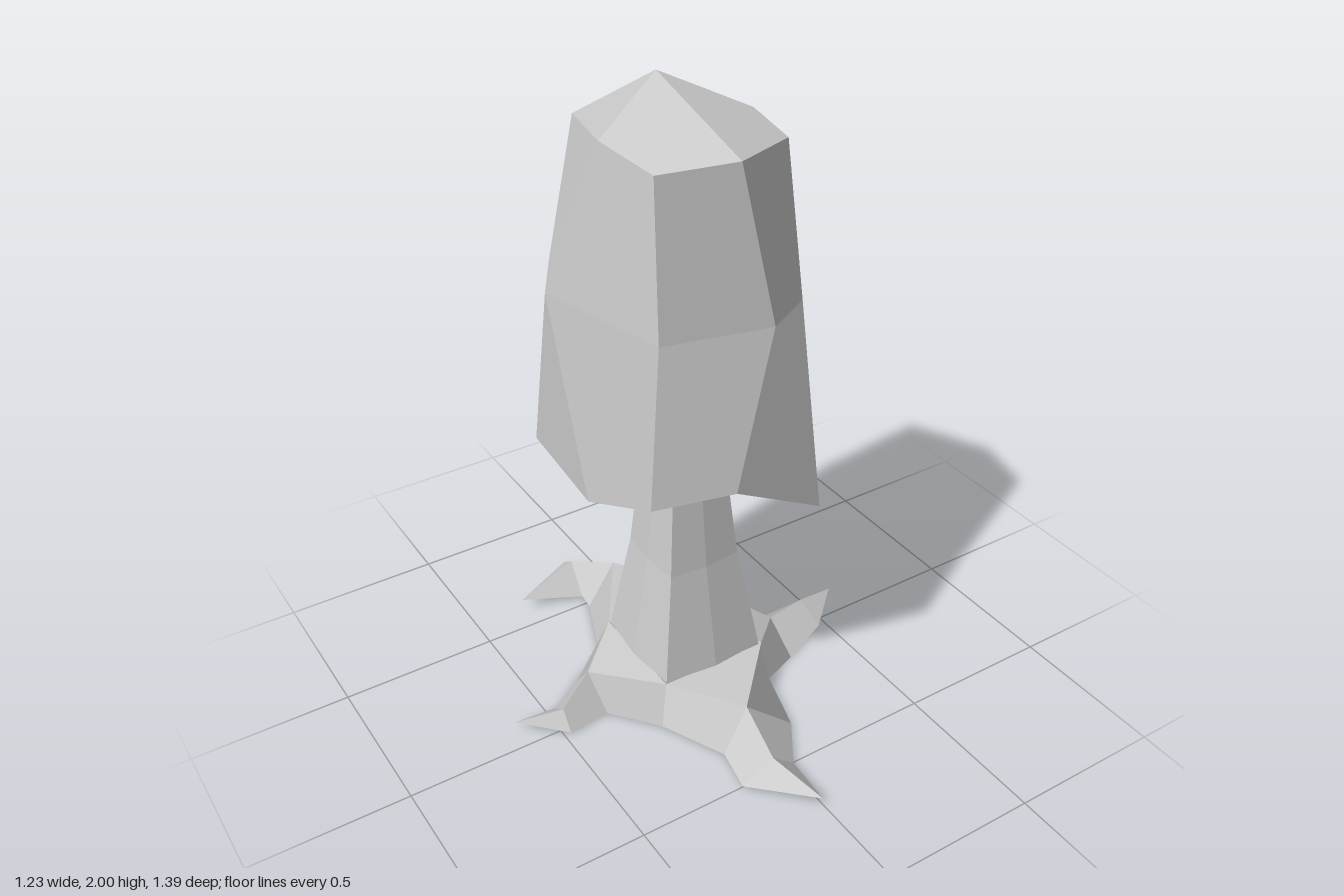
import * as THREE from 'three';

const material = new THREE.MeshStandardMaterial({ color: 0xcccccc });

// Skins closed rings of points with evenly shaded quads. Each end is closed to a point;
// capStep is the number of ring edges shared by one face of the caps.
function loft(name, rings, startPoint, endPoint, capStep = 1) {
  const pos = [];
  const nor = [];
  const quad = (...corners) => {
    const [a, b, c, d] = corners.map((p) => new THREE.Vector3(...p));
    const normal = c.clone().sub(a).cross(d.clone().sub(b)).normalize();
    for (const t of [[a, b, c], [a, c, d]]) {
      if (t[0].equals(t[1]) || t[1].equals(t[2]) || t[0].equals(t[2])) continue;
      for (const v of t) {
        pos.push(v.x, v.y, v.z);
        nor.push(normal.x, normal.y, normal.z);
      }
    }
  };
  const n = rings[0].length;
  const first = rings[0];
  const last = rings[rings.length - 1];
  for (let k = 0; k < rings.length - 1; k++) {
    const [a, b] = [rings[k], rings[k + 1]];
    for (let i = 0; i < n; i++) {
      const j = (i + 1) % n;
      quad(a[i], a[j], b[j], b[i]);
    }
  }
  for (let i = 0; i < n; i += capStep) {
    const mid = (i + 1) % n;
    const end = (i + capStep) % n;
    quad(last[mid], last[end], endPoint, last[i]);
    quad(first[mid], first[i], startPoint, first[end]);
  }
  const geometry = new THREE.BufferGeometry();
  geometry.setAttribute('position', new THREE.Float32BufferAttribute(pos, 3));
  geometry.setAttribute('normal', new THREE.Float32BufferAttribute(nor, 3));
  const mesh = new THREE.Mesh(geometry, material);
  mesh.name = name;
  return mesh;
}

// Trunk ring: a square with its sides bulging slightly in the middle.
function trunkRing(y, r) {
  return Array.from({ length: 8 }, (_, i) => {
    const a = (i * Math.PI) / 4;
    const d = i % 2 ? r * 0.92 * Math.SQRT2 : r;
    return [-0.023 + d * Math.sin(a), y, -0.038 + d * Math.cos(a)];
  });
}

export function createModel() {
  const tree = new THREE.Group();
  tree.name = 'tree';

  // Crown: rings run front, front left, left, back left, back, back right, right, front right
  const skirt = [
    [-0.1, 0.955, 0.36], [0.19, 0.8, 0.355], [0.34, 0.955, 0.02], [0.29, 0.8, -0.385],
    [-0.02, 0.955, -0.44], [-0.34, 0.825, -0.37], [-0.345, 0.785, -0.04], [-0.34, 0.955, 0.305],
  ];
  const middle = [
    [0.04, 1.41, 0.32], [0.19, 1.41, 0.235], [0.22, 1.41, -0.03], [0.2, 1.41, -0.29],
    [-0.03, 1.41, -0.4], [-0.27, 1.41, -0.355], [-0.375, 1.41, -0.18], [-0.275, 1.41, 0.25],
  ];
  const shoulder = [
    [-0.04, 1.87, 0.27], [0.15, 1.87, 0.2], [0.2, 1.87, -0.03], [0.2, 1.76, -0.25],
    [0.05, 1.87, -0.34], [-0.23, 1.87, -0.25], [-0.27, 1.87, -0.04], [-0.27, 1.87, 0.23],
  ];
  tree.add(loft('crown', [skirt, middle, shoulder], [-0.02, 0.96, -0.04], [-0.06, 2, -0.1], 2));

  // Trunk, flaring towards the ground
  const trunkRings = [[0, 0.2], [0.15, 0.187], [0.5, 0.13], [0.98, 0.085]]
    .map(([y, r]) => trunkRing(y, r));
  tree.add(loft('trunk', trunkRings, [-0.02, 0, -0.04], [-0.02, 0.98, -0.04]));

  // Roots: each grows from one side of the trunk foot, between two of its corners,
  // through sections of two ground points and a ridge to a tip
  const foot = {
    frontLeft: [[0.18, 0, 0.155], [0.155, 0.15, 0.14]],
    backLeft: [[0.18, 0, -0.24], [0.155, 0.15, -0.215]],
    backRight: [[-0.225, 0, -0.24], [-0.2, 0.15, -0.215]],
    frontRight: [[-0.225, 0, 0.155], [-0.2, 0.15, 0.14]],
  };
  const roots = {
    frontRoot: {
      corners: [foot.frontRight, foot.frontLeft],
      sections: [
        [[-0.13, 0, 0.36], [0.12, 0, 0.36], [-0.03, 0.12, 0.33]],
        [[-0.165, 0.015, 0.51], [0.02, 0.01, 0.51], [-0.065, 0.085, 0.52]],
      ],
      tip: [-0.01, 0.04, 0.695],
    },
    leftRoot: {
      corners: [foot.frontLeft, foot.backLeft],
      sections: [
        [[0.3, 0, 0.11], [0.32, 0, -0.11], [0.3, 0.085, -0.01]],
        [[0.47, 0.005, 0.035], [0.47, 0.01, -0.088], [0.46, 0.055, -0.06]],
      ],
      tip: [0.615, 0.01, -0.1],
    },
    backRoot: {
      corners: [foot.backLeft, foot.backRight],
      sections: [
        [[0.085, 0, -0.48], [-0.13, 0, -0.48], [-0.02, 0.13, -0.5]],
        [[-0.11, 0.045, -0.695], [-0.13, 0.01, -0.53], [-0.12, 0.1, -0.62]],
      ],
      tip: [-0.33, 0.04, -0.59],
    },
    rightRoot: {
      corners: [foot.backRight, foot.frontRight],
      sections: [
        [[-0.35, 0, -0.17], [-0.34, 0, 0.01], [-0.36, 0.12, -0.07]],
        [[-0.48, 0.02, -0.08], [-0.48, 0.005, 0.03], [-0.48, 0.068, -0.015]],
      ],
      tip: [-0.615, 0.03, -0.08],
    },
  };
  for (const [name, { corners: [a, b], sections, tip }] of Object.entries(roots)) {
    const rings = [[a[0], b[0], b[1], a[1]], ...sections.map(([l, r, top]) => [l, r, top, top])];
    tree.add(loft(name, rings, [-0.02, 0.01, -0.04], tip));
  }
  return tree;
}
